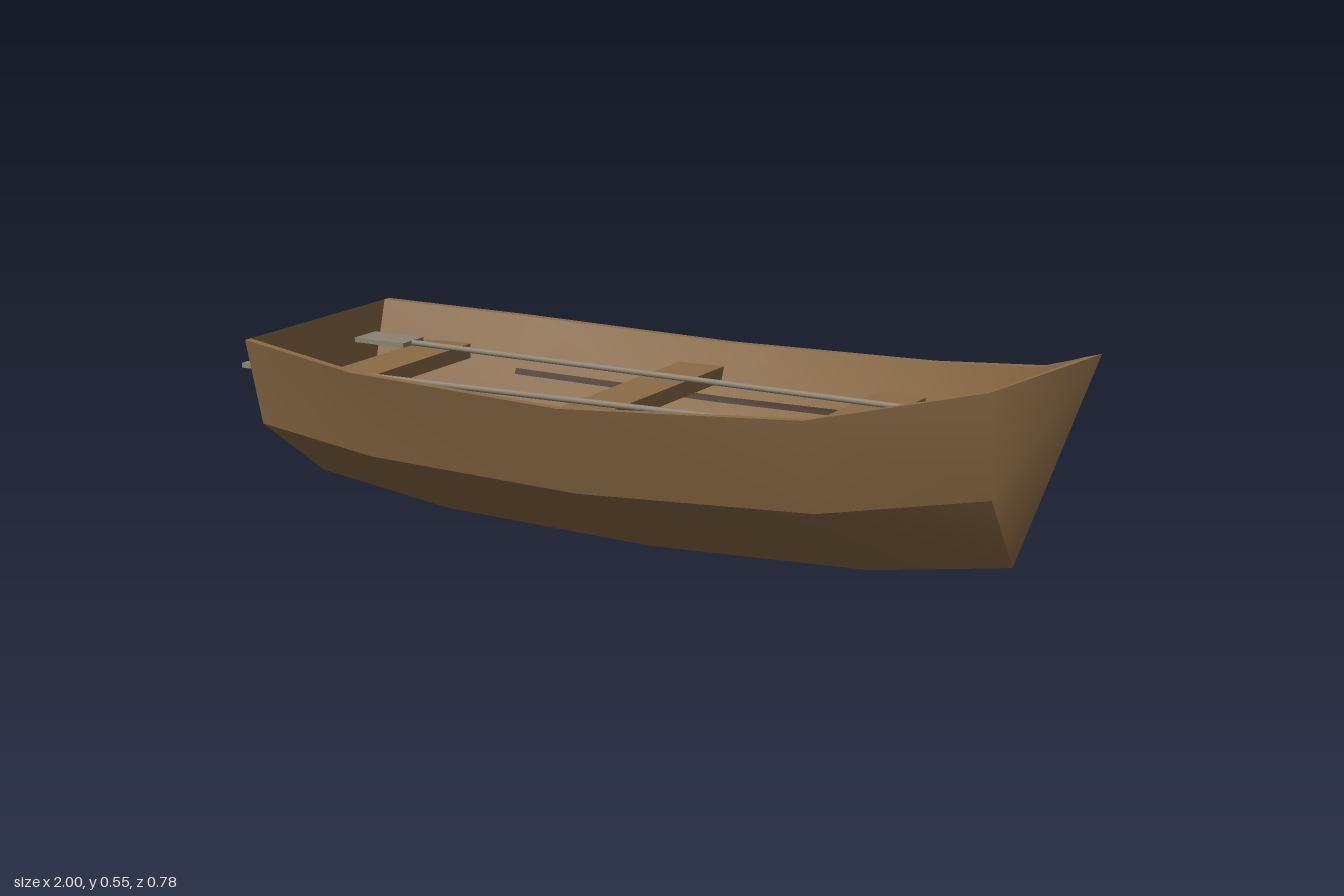
import * as THREE from 'three';

const wood = new THREE.MeshStandardMaterial({ name: 'wood', color: 0x8b6b45, side: THREE.DoubleSide });
const darkWood = new THREE.MeshStandardMaterial({ name: 'darkWood', color: 0x3f2e1c, side: THREE.DoubleSide });
const oarWood = new THREE.MeshStandardMaterial({ name: 'oarWood', color: 0x8a8270 });

// Hull stations from stern to bow: x, rim half width, rim y, chine y, keel y
const stations = [
  [-0.94, 0.285, 0.432, 0.226, 0.065],
  [-0.59, 0.37, 0.41, 0.206, 0.018],
  [-0.05, 0.392, 0.396, 0.195, 0.002],
  [0.49, 0.328, 0.42, 0.21, 0.023],
  [0.82, 0.15, 0.479, 0.248, 0.075],
];
const V = (x, y, z) => new THREE.Vector3(x, y, z);

// Edge lines of the half hull, moved inward by the planking thickness t
function lines(t) {
  return {
    rim: stations.map(([x, w, y]) => V(x, y, w - t)),
    chine: stations.map(([x, w, , y]) => V(x, y + t * 0.4, w * 0.803 - t)),
    keel: stations.map(([x, , , , y]) => V(x, y + t, 0)),
    tip: V(1 - t * 1.8, 0.55 - t * 0.5, 0),
  };
}

// Smooth strip between two edge lines; mirror = -1 gives the other side
function strip(a, b, mirror, inward, extra = [], extraTris = []) {
  const points = [];
  a.forEach((p, i) => points.push(p, b[i]));
  points.push(...extra);
  const tris = [];
  for (let i = 0; i < a.length - 1; i++) {
    const k = i * 2;
    tris.push([k, k + 1, k + 3], [k, k + 3, k + 2]);
  }
  tris.push(...extraTris);
  const flip = (mirror < 0) !== inward;
  const g = new THREE.BufferGeometry().setFromPoints(points.map(p => V(p.x, p.y, p.z * mirror)));
  g.setIndex(tris.flatMap(([p, q, r]) => (flip ? [p, r, q] : [p, q, r])));
  g.computeVertexNormals();
  return g;
}

const between = (a, b, t, lift) => a.map((p, i) => p.clone().lerp(b[i], t).add(lift));

export function createModel() {
  const boat = new THREE.Group();
  boat.name = 'rowingBoat';
  const add = (name, geometry, material, parent = boat) => {
    const mesh = new THREE.Mesh(geometry, material);
    mesh.name = name;
    parent.add(mesh);
    return mesh;
  };

  const outer = lines(0);
  const inner = lines(0.02);
  for (const m of [1, -1]) {
    const side = m > 0 ? 'Front' : 'Back';
    // Planking, outside and inside, with the side running into the stem
    for (const [h, inward, label] of [[outer, false, 'outer'], [inner, true, 'inner']]) {
      add(label + 'Side' + side, strip(h.rim, h.chine, m, inward,
        [h.keel[4], h.tip], [[8, 9, 11], [9, 10, 11]]), wood);
      add(label + 'Bottom' + side, strip(h.chine, h.keel, m, inward), wood);
    }
    // Top edge of the planking
    add('rim' + side, strip([...inner.rim, inner.tip], [...outer.rim, outer.tip], m, false), wood);

    // Thin battens on the floor and along the walls
    const up = V(0, 0.004, 0), inboard = V(0, 0, -0.004);
    add('floorBatten' + side, strip(
      between(inner.chine, inner.keel, 0.27, up),
      between(inner.chine, inner.keel, 0.31, up), m, true), darkWood);
    add('wallBatten' + side, strip(
      between(inner.rim, inner.chine, 0.6, inboard).slice(1),
      between(inner.rim, inner.chine, 0.67, inboard).slice(1), m, true), darkWood);
  }

  // Flat transom closing the stern
  const { rim: [r], chine: [c], keel: [k] } = outer;
  const shape = new THREE.Shape([[r.z, r.y], [-r.z, r.y], [-c.z, c.y], [0, k.y], [c.z, c.y]]
    .map(([x, y]) => new THREE.Vector2(x, y)));
  const transom = add('transom', new THREE.ShapeGeometry(shape), wood);
  transom.rotation.y = -Math.PI / 2;
  transom.position.x = r.x;

  // Bench seats
  for (const [x, halfWidth] of [[-0.76, 0.278], [-0.11, 0.35], [0.43, 0.285]]) {
    add('seat', new THREE.BoxGeometry(0.115, 0.035, halfWidth * 2), wood).position.set(x, 0.327, 0);
  }

  // Oars lying on the seats, blades over the stern
  for (const [m, tipZ, label] of [[1, 0.128, 'Front'], [-1, 0.134, 'Back']]) {
    const oar = new THREE.Group();
    oar.name = 'oar' + label;
    const start = V(-0.84, 0.355, 0.18 * m), end = V(0.55, 0.355, tipZ * m);
    const dir = end.clone().sub(start);
    const shaft = add('oarShaft', new THREE.CylinderGeometry(0.007, 0.007, dir.length(), 8), oarWood, oar);
    shaft.position.copy(start).add(end).multiplyScalar(0.5);
    shaft.quaternion.setFromUnitVectors(V(0, 1, 0), dir.normalize());
    add('oarBlade', new THREE.BoxGeometry(0.2, 0.011, 0.085), oarWood, oar).position.set(-0.9, 0.355, 0.18 * m);
    boat.add(oar);
  }
  return boat;
}
